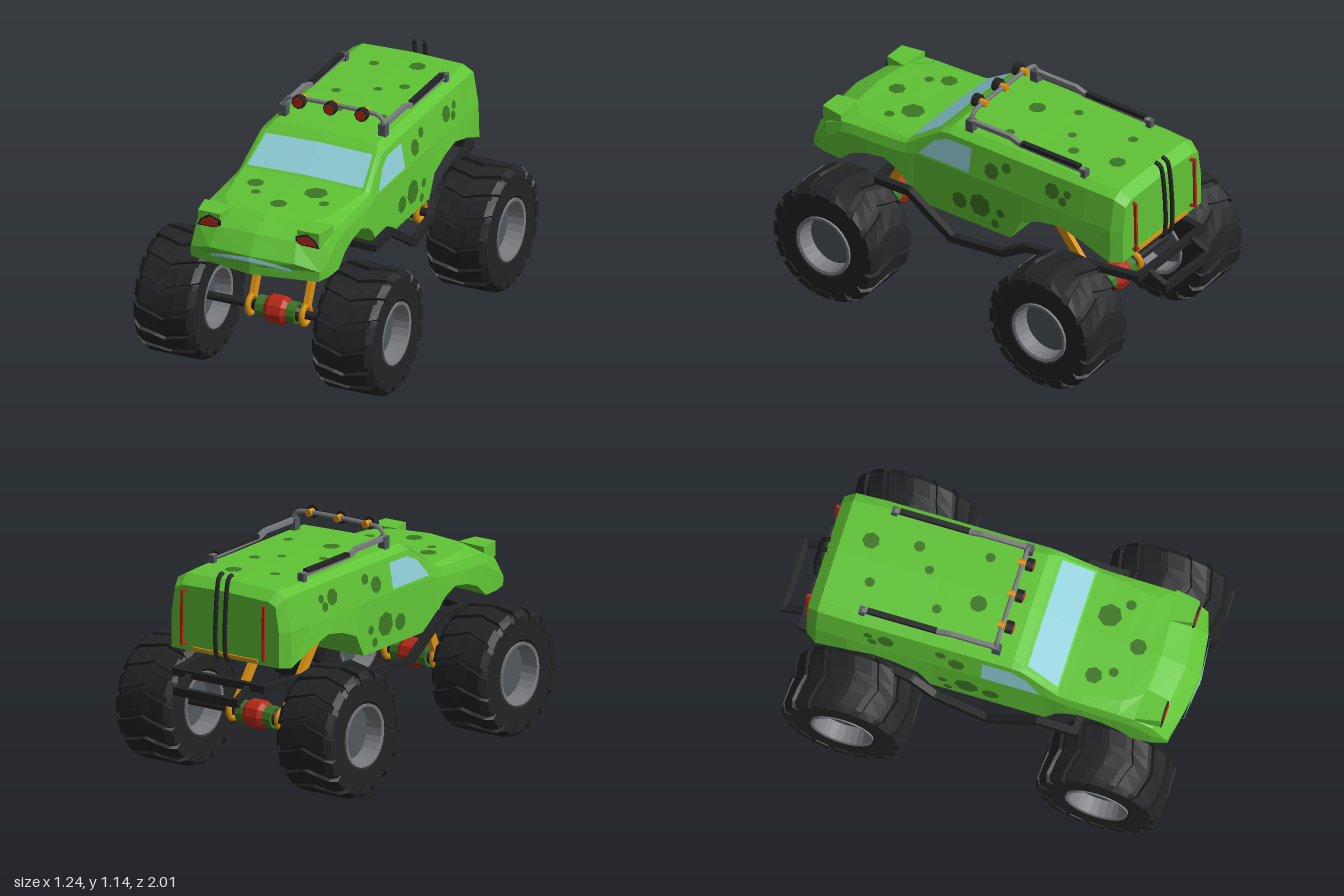
import * as THREE from 'three';
import { mergeGeometries } from 'three/addons/utils/BufferGeometryUtils.js';

const paint = (name, color, side = THREE.FrontSide) => {
  const m = new THREE.MeshStandardMaterial({ color, side });
  m.name = name;
  return m;
};
const M = {
  green: paint('body green', 0x60c435),
  moss: paint('dark green', 0x3c7724),
  black: paint('black', 0x232425),
  orange: paint('orange', 0xdc920f),
  red: paint('red', 0xb82818),
  steel: paint('dark steel', 0x50585b),
  grey: paint('grey', 0x7a7c80),
  glass: paint('glass', 0x8fced8, THREE.DoubleSide),
};
const V = (x, y, z) => new THREE.Vector3(x, y, z);
const flat = (g) => {
  const f = g.index ? g.toNonIndexed() : g;
  f.computeVertexNormals();
  return f;
};
function add(parent, name, geo, mat, x = 0, y = 0, z = 0) {
  const m = new THREE.Mesh(geo, mat);
  m.name = name;
  m.position.set(x, y, z);
  parent.add(m);
  return m;
}
const box = (p, name, mat, w, h, d, x, y, z) => add(p, name, new THREE.BoxGeometry(w, h, d), mat, x, y, z);

// Square bars following a list of points
function bars(parent, name, mat, pts, w, h = w) {
  for (let i = 0; i + 1 < pts.length; i++) {
    const a = V(...pts[i]), b = V(...pts[i + 1]);
    const m = add(parent, name, new THREE.BoxGeometry(w, h, a.distanceTo(b) + w * 0.5), mat);
    m.position.copy(a).lerp(b, 0.5);
    m.lookAt(b);
  }
}
function tube(parent, name, mat, pts, r) {
  const c = new THREE.CatmullRomCurve3(pts.map((p) => V(...p)), false, 'centripetal');
  add(parent, name, new THREE.TubeGeometry(c, 24, r, 7), mat);
}
// Thin polygon made as a fan
function plate(parent, name, mat, pts) {
  const pos = [];
  for (let i = 1; i + 1 < pts.length; i++) pos.push(...pts[0], ...pts[i], ...pts[i + 1]);
  const g = new THREE.BufferGeometry();
  g.setAttribute('position', new THREE.Float32BufferAttribute(pos, 3));
  add(parent, name, flat(g), mat);
}
// Solid of revolution about the x axis from [radius, x] pairs
const spin = (pts, n) => flat(new THREE.LatheGeometry(pts.map((p) => new THREE.Vector2(...p)), n).rotateZ(-Math.PI / 2));
const prism = (pts, depth) => new THREE.ExtrudeGeometry(
  new THREE.Shape(pts.map((p) => new THREE.Vector2(...p))), { depth, bevelEnabled: false });

// z, sill y/half width, belt y/half width, shoulder y/half width, top y/half width
const FRONT = [
  [1.0, 0.63, 0.33, 0.655, 0.335, 0.68, 0.335, 0.715, 0.22],
  [0.93, 0.63, 0.35, 0.72, 0.35, 0.785, 0.335, 0.8, 0.2],
  [0.81, 0.63, 0.355, 0.78, 0.35, 0.83, 0.335, 0.853, 0.2],
  [0.7, 0.69, 0.355, 0.79, 0.35, 0.835, 0.335, 0.855, 0.27],
  [0.62, 0.72, 0.355, 0.79, 0.35, 0.838, 0.335, 0.858, 0.28],
  [0.52, 0.735, 0.355, 0.795, 0.35, 0.842, 0.335, 0.861, 0.3],
  [0.44, 0.7, 0.355, 0.8, 0.35, 0.846, 0.335, 0.864, 0.31],
  [0.4, 0.665, 0.355, 0.805, 0.348, 0.852, 0.335, 0.866, 0.315],
  [0.345, 0.57, 0.355, 0.82, 0.345, 0.89, 0.329, 0.902, 0.307],
];
const REAR = [
  [0.22, 0.57, 0.355, 0.82, 0.345, 0.975, 0.315, 0.985, 0.29],
  [0.17, 0.57, 0.355, 0.82, 0.345, 0.985, 0.315, 1.012, 0.27],
  [-0.217, 0.57, 0.355, 0.82, 0.345, 0.985, 0.315, 1.012, 0.27],
  [-0.276, 0.68, 0.355, 0.82, 0.345, 0.985, 0.315, 1.011, 0.27],
  [-0.39, 0.725, 0.355, 0.82, 0.345, 0.985, 0.315, 1.01, 0.27],
  [-0.5, 0.745, 0.355, 0.82, 0.345, 0.985, 0.315, 1.01, 0.27],
  [-0.63, 0.71, 0.355, 0.82, 0.345, 0.985, 0.315, 1.009, 0.27],
  [-0.785, 0.645, 0.345, 0.82, 0.34, 0.98, 0.31, 1.008, 0.26],
  [-0.838, 0.65, 0.31, 0.82, 0.31, 0.945, 0.29, 0.965, 0.25],
];
function bodyGeometry() {
  const rings = [...FRONT, ...REAR].map(([z, ya, wa, yb, wb, yc, wc, yd, wd]) => {
    const half = [[wd, yd], [wc, yc], [wb, yb], [wa, ya]];
    const bow = 0.07 * THREE.MathUtils.clamp((z - 0.7) / 0.2, 0, 1);
    return [[0, yd + 0.008], ...half, [0, ya], ...half.reverse().map(([x, y]) => [-x, y])]
      .map(([x, y]) => [x, y, z - bow * (x / 0.35) ** 2]);
  });
  const pos = [], n = rings[0].length, last = rings.length - 1;
  for (let j = 0; j < n; j++) {
    const k = (j + 1) % n;
    for (let i = 0; i < last; i++) {
      const f = rings[i], b = rings[i + 1];
      pos.push(...f[j], ...f[k], ...b[j], ...f[k], ...b[k], ...b[j]);
    }
    pos.push(0, 0.672, 1, ...rings[0][k], ...rings[0][j]);
    pos.push(0, 0.8, REAR.at(-1)[0], ...rings[last][j], ...rings[last][k]);
  }
  const g = new THREE.BufferGeometry();
  g.setAttribute('position', new THREE.Float32BufferAttribute(pos, 3));
  return flat(g);
}
// Chevron lug: a box bent around the tyre, its middle leading
function lugGeometry(turn) {
  const g = new THREE.BoxGeometry(0.314, 0.055, 0.27, 6, 1, 1), p = g.attributes.position;
  for (let i = 0; i < p.count; i++) {
    let x = p.getX(i);
    const edge = Math.abs(x) / 0.157, top = p.getY(i) > 0;
    if (edge > 0.5 && edge < 0.9) x *= 1.2;
    const r = top ? (edge > 0.9 ? 0.283 : 0.306) : 0.25;
    const t = turn + p.getZ(i) * (top ? 1 : 1.1) + 0.2 * (1 - edge);
    p.setXYZ(i, x, r * Math.cos(t), r * Math.sin(t));
  }
  return flat(g);
}

export function createModel() {
  const truck = new THREE.Group();
  truck.name = 'monsterTruck';
  add(truck, 'body', bodyGeometry(), M.green);

  // Spots: [x, z, radius] on hood and roof, [z, y, radius] on the sides
  const spot = (x, y, z, r, nx, ny, i) => {
    const m = add(truck, 'spot', new THREE.CircleGeometry(r, 7 + (i % 2)), M.moss, x, y, z);
    m.lookAt(x + nx, y + ny, z);
    m.rotateZ(i);
  };
  [[0.09, -0.645, 0.042], [-0.11, -0.59, 0.025], [0.13, -0.42, 0.028], [0.03, -0.34, 0.022], [-0.145, -0.25, 0.024],
    [-0.063, -0.07, 0.042], [0.175, -0.085, 0.025]]
    .forEach(([x, z, r], i) => spot(x, 1.023 - 0.03 * Math.abs(x), z, r, 0, 1, i));
  [[-0.19, 0.534, 0.042], [-0.148, 0.62, 0.024], [0.118, 0.52, 0.058], [0.197, 0.6, 0.026], [0.006, 0.693, 0.042]]
    .forEach(([x, z, r], i) => spot(x, 0.873 - 0.027 * Math.abs(x) - 0.03 * (z - 0.5), z, r, 0, 1, i));
  const sideSpots = [[-0.095, 0.887, 0.042], [-0.175, 0.93, 0.027], [-0.443, 0.91, 0.042], [-0.507, 0.877, 0.024], [-0.53, 0.92, 0.022],
    [0.078, 0.667, 0.042], [-0.04, 0.683, 0.06], [-0.158, 0.68, 0.023], [-0.13, 0.615, 0.023]];

  // Windows and grille
  plate(truck, 'windshield', M.glass, [[0, 0.885, 0.392], [0.3, 0.877, 0.392], [0.277, 0.981, 0.238], [0, 0.989, 0.238],
    [-0.277, 0.981, 0.238], [-0.3, 0.877, 0.392]]);

  for (const s of [-1, 1]) {
    const sideX = (y) => s * (0.351 - Math.max(0, y - 0.82) * 0.182);
    sideSpots.forEach(([z, y, r], i) =>
      spot(y > 0.82 ? sideX(y) : s * (0.359 - (y - 0.57) * 0.04), y, z, r, s, y > 0.82 ? 0.18 : 0.04, i));
    plate(truck, 'sideWindow', M.glass, [[0.03, 0.835], [0.32, 0.835], [0.245, 0.925], [0.17, 0.96], [0.03, 0.96]]
      .map(([z, y]) => [sideX(y), y, z]));
    plate(truck, 'grille', M.glass, [[0, 0.697, 1.006], [0, 0.72, 1.002], [s * 0.21, 0.69, 0.982], [s * 0.21, 0.676, 0.982]]);

    // Headlight pod and lens
    const pod = prism([[0.18, -0.79], [0.2, -0.9], [0.315, -0.9], [0.336, -0.78]].map(([x, y]) => [s * x, y]), 0.075);
    add(truck, 'headlightPod', pod.rotateX(-Math.PI / 2), M.green, 0, 0.783, 0);
    const lens = [[0.317, 0.785], [0.297, 0.82], [0.255, 0.847], [0.195, 0.825], [0.195, 0.787]].map(([x, y]) => [s * x, y]);
    add(truck, 'headlightFrame', prism(lens, 0.008), M.black, 0, 0, 0.899);
    const inner = add(truck, 'headlight', prism(lens, 0.006), M.red, s * 0.25 * 0.2, 0.812 * 0.25, 0.904);
    inner.scale.set(0.8, 0.75, 1);

    // Chassis rail
    bars(truck, 'chassisRail', M.black, [[s * 0.3, 0.655, 0.52], [s * 0.41, 0.645, 0.51], [s * 0.41, 0.65, 0.33], [s * 0.41, 0.485, 0.08],
      [s * 0.372, 0.485, -0.19], [s * 0.35, 0.55, -0.31], [s * 0.25, 0.55, -0.88]], 0.036);
    bars(truck, 'rearStep', M.black, [[s * 0.17, 0.55, -0.87], [s * 0.17, 0.495, -0.985]], 0.03);

    // Roof rail with pad and posts
    bars(truck, 'roofRail', M.grey, [[s * 0.26, 1.06, 0.08], [s * 0.26, 1.06, -0.15], [s * 0.26, 1.042, -0.205], [s * 0.26, 1.036, -0.58]], 0.022);
    box(truck, 'railPad', M.black, 0.026, 0.02, 0.34, s * 0.26, 1.05, -0.385);
    box(truck, 'frontPost', M.steel, 0.038, 0.075, 0.04, s * 0.258, 1.032, 0.08);
    box(truck, 'rearPost', M.steel, 0.034, 0.05, 0.028, s * 0.26, 1.022, -0.58);

    // Tail pipe and tail light
    tube(truck, 'tailPipe', M.black, [[s * 0.027, 1.055, -0.82], [s * 0.027, 1.045, -0.847], [s * 0.027, 0.98, -0.865],
      [s * 0.027, 0.66, -0.868], [s * 0.027, 0.645, -0.84]], 0.011);
    bars(truck, 'tailLight', M.red, [[s * 0.225, 0.94, -0.83], [s * 0.235, 0.94, -0.855], [s * 0.235, 0.685, -0.86], [s * 0.225, 0.685, -0.83]], 0.013);
  }
  box(truck, 'rearTrim', M.orange, 0.38, 0.016, 0.012, 0, 0.665, -0.842);
  box(truck, 'rearCrossbar', M.black, 0.53, 0.036, 0.03, 0, 0.55, -0.88);
  box(truck, 'rearStepBar', M.black, 0.37, 0.04, 0.028, 0, 0.493, -0.985);

  // Light bar with three lamps
  const arch = [[0.258, 1.06], [0.254, 1.085], [0.235, 1.105], [0.205, 1.111]];
  tube(truck, 'lightBar', M.grey, [...arch, ...arch.slice().reverse().map(([x, y]) => [-x, y])].map(([x, y]) => [x, y, 0.078]), 0.011);
  for (const x of [-0.163, 0, 0.163]) {
    const disc = (r, d) => flat(new THREE.CylinderGeometry(r, r, d, 8).rotateX(Math.PI / 2));
    add(truck, 'lampHousing', disc(0.033, 0.034), M.black, x, 1.112, 0.113);
    add(truck, 'lampLens', disc(0.026, 0.006), M.red, x, 1.112, 0.131);
    add(truck, 'lampMount', disc(0.018, 0.04), M.orange, x, 1.112, 0.077);
  }

  // Shared wheel and axle geometry
  const tyre = mergeGeometries([
    spin([[0.15, -0.14], [0.165, -0.152], [0.265, -0.152], [0.287, -0.13], [0.29, 0], [0.287, 0.13], [0.265, 0.152], [0.165, 0.152], [0.15, 0.14]], 32),
    ...Array.from({ length: 16 }, (_, i) => lugGeometry(i * Math.PI / 8)),
  ]);
  const ring = spin([[0.13, 0.07], [0.13, -0.07], [0.138, -0.15], [0.153, -0.154], [0.153, 0.154], [0.138, 0.15], [0.13, 0.07]], 24);
  const hub = spin([[0, -0.07], [0.135, -0.07], [0.135, 0.07], [0, 0.07]], 24);
  const shaft = spin([[0, -0.42], [0.021, -0.42], [0.021, 0.42], [0, 0.42]], 10);
  const housing = spin([[0, -0.062], [0.05, -0.062], [0.07, -0.035], [0.07, 0.035], [0.05, 0.062], [0, 0.062]], 10);
  const sleeve = spin([[0, -0.102], [0.054, -0.102], [0.054, 0.102], [0, 0.102]], 10);
  const collar = spin([[0, -0.126], [0.028, -0.126], [0.042, -0.1], [0.042, 0.1], [0.028, 0.126], [0, 0.126]], 10);
  const eye = new THREE.TorusGeometry(0.045, 0.015, 6, 14).rotateY(Math.PI / 2);

  for (const [name, z, topZ, topY] of [['front', 0.68, 0.5, 0.7], ['rear', -0.57, -0.25, 0.71]]) {
    const axle = new THREE.Group();
    axle.name = name + 'Axle';
    axle.position.set(0, 0.31, z);
    truck.add(axle);
    add(axle, 'shaft', shaft, M.black);
    add(axle, 'differential', housing, M.red);
    add(axle, 'differentialSleeve', sleeve, M.moss);
    add(axle, 'differentialCollar', collar, M.black);
    for (const s of [-1, 1]) {
      add(axle, 'strutEye', eye, M.orange, s * 0.14);
      const dir = V(0, topY - 0.31, topZ - z).normalize().multiplyScalar(0.045);
      bars(truck, name + 'Strut', M.orange, [[s * 0.14, 0.31 + dir.y, z + dir.z], [s * 0.14, topY, topZ]], 0.026, 0.045);
      const wheel = new THREE.Group();
      wheel.name = name + (s > 0 ? 'LeftWheel' : 'RightWheel');
      wheel.position.x = s * 0.463;
      axle.add(wheel);
      add(wheel, 'tyre', tyre, M.black);
      add(wheel, 'rim', ring, M.grey);
      add(wheel, 'hub', hub, M.steel);
    }
  }
  return truck;
}
